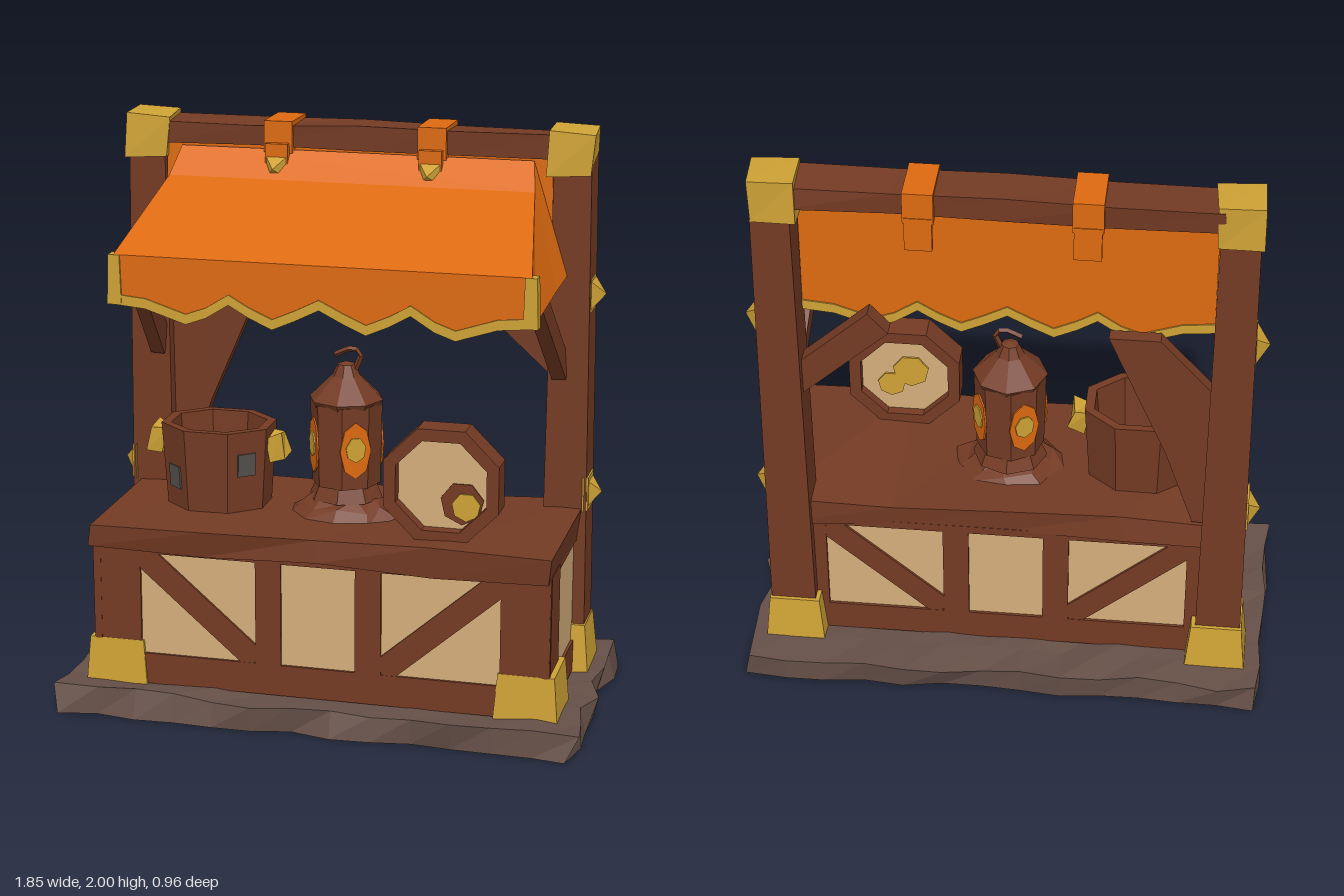
import * as THREE from 'three';

const mat = (name, color, side = THREE.FrontSide) => {
  const m = new THREE.MeshStandardMaterial({ color, flatShading: true, side });
  m.name = name;
  return m;
};

export function createModel() {
  const root = new THREE.Group();
  root.name = 'marketStall';
  const wood = mat('wood brown', 0x743b24);
  const gold = mat('gold trim', 0xcfa235);
  const cream = mat('cream plaster', 0xd4ae7a);
  const cloth = mat('orange cloth', 0xdd6a10, THREE.DoubleSide);
  const stone = mat('stone', 0x665048);
  const iron = mat('iron grey', 0x55504e);

  const add = (name, geo, m, x = 0, y = 0, z = 0, parent = root) => {
    const mesh = new THREE.Mesh(geo, m);
    mesh.name = name;
    mesh.position.set(x, y, z);
    parent.add(mesh);
    return mesh;
  };
  // position-based noise, so shared corners move together
  const noise = (x, y, z, k) => {
    const s = Math.sin(x * 127.1 + y * 311.7 + z * 74.7 + k * 53.3) * 43758.5453;
    return (s - Math.floor(s)) * 2 - 1;
  };
  const edit = (geo, fn) => {
    const p = geo.attributes.position, v = new THREE.Vector3();
    for (let i = 0; i < p.count; i++) {
      v.fromBufferAttribute(p, i);
      for (const a of ['x', 'y', 'z']) v[a] = Math.round(v[a] * 1e4) / 1e4 + 0;
      fn(v);
      p.setXYZ(i, v.x, v.y, v.z);
    }
    geo.computeVertexNormals();
    return geo;
  };
  const rough = (geo, a) => edit(geo, v => {
    const { x, y, z } = v;
    v.set(x + noise(x, y, z, 1) * a, y + noise(x, y, z, 2) * a, z + noise(x, y, z, 3) * a);
  });
  const taper = (w, h, d, tx, tz = tx) => edit(new THREE.BoxGeometry(w, h, d), v => {
    if (v.y > 0) { v.x *= tx; v.z *= tz; }
  });
  const box = (name, m, w, h, d, x, y, z, parent) =>
    add(name, new THREE.BoxGeometry(w, h, d), m, x, y, z, parent);
  const beam = (name, a, b, w, d, m = wood) => {
    const p = new THREE.Vector3(...a), q = new THREE.Vector3(...b);
    const dir = q.clone().sub(p), mid = p.clone().add(q).multiplyScalar(0.5);
    const mesh = add(name, new THREE.BoxGeometry(w, dir.length(), d), m, mid.x, mid.y, mid.z);
    mesh.quaternion.setFromUnitVectors(new THREE.Vector3(0, 1, 0), dir.normalize());
    return mesh;
  };
  const shapeOf = pts => new THREE.Shape(pts.map(p => new THREE.Vector2(...p)));
  const extrude = (shape, depth) => new THREE.ExtrudeGeometry(shape, { depth, bevelEnabled: false });
  const quads = list => {
    const pos = [];
    for (const [a, b, c, d] of list) pos.push(...a, ...b, ...c, ...a, ...c, ...d);
    const g = new THREE.BufferGeometry();
    g.setAttribute('position', new THREE.Float32BufferAttribute(pos, 3));
    g.computeVertexNormals();
    return g;
  };
  const stud = (name, r, h, x, y, z, axis) => {
    const g = new THREE.ConeGeometry(r * Math.SQRT2, h, 4).rotateY(Math.PI / 4);
    if (axis === 'z') g.rotateX(Math.PI / 2);
    else g.rotateZ(-axis * Math.PI / 2);
    return add(name, g, gold, x, y, z);
  };

  // chipped stone slab
  add('stoneBase', edit(new THREE.BoxGeometry(1.8, 0.09, 0.92, 13, 1, 7), v => {
    const { x, y, z } = v, n = k => noise(x, y, z, k);
    if (Math.abs(x) > 0.89) v.x += Math.sign(x) * n(1) * 0.025;
    if (Math.abs(z) > 0.45) v.z += Math.sign(z) * n(2) * 0.025;
    if (y > 0) v.y += n(3) * 0.012;
  }), stone, 0, 0.045, 0);

  // counter body, timber frame and top
  box('plasterBody', cream, 1.57, 0.5, 0.6, 0, 0.34, 0.035);
  add('counterTop', rough(new THREE.BoxGeometry(1.61, 0.09, 0.65, 4, 1, 1), 0.012), wood, 0, 0.625, 0.045);
  for (const [face, z] of [['front', 0.335], ['back', -0.265]]) {
    box(face + 'BottomRail', wood, 1.58, 0.11, 0.02, 0, 0.145, z);
    box(face + 'TopRail', wood, 1.58, 0.03, 0.02, 0, 0.58, z);
    for (const s of [-1, 1]) {
      box(face + 'Stud', wood, 0.09, 0.4, 0.02, s * 0.175, 0.38, z);
      beam(face + 'Diagonal', [s * 0.22, 0.21, z], [s * 0.63, 0.565, z], 0.085, 0.018);
      box(face + 'CornerBoard', wood, 0.17, 0.5, 0.02, s * 0.715, 0.34, z);
    }
  }
  for (const s of [-1, 1]) {
    box('sideBottomRail', wood, 0.02, 0.11, 0.6, s * 0.785, 0.145, 0.035);
    box('sideTopRail', wood, 0.02, 0.03, 0.6, s * 0.785, 0.58, 0.035);
    box('sideCornerBoard', wood, 0.025, 0.5, 0.18, s * 0.785, 0.34, 0.256);
    add('frontFoot', taper(0.22, 0.16, 0.23, 0.88, 0.92), gold, s * 0.72, 0.165, 0.24);

    // rear posts with caps, feet and studs
    add('post', taper(0.16, 1.85, 0.15, 0.8, 0.95), wood, s * 0.75, 1.0, -0.245);
    add('postFoot', taper(0.21, 0.17, 0.21, 0.84), gold, s * 0.745, 0.17, -0.245);
    add('postCap', rough(new THREE.BoxGeometry(0.15, 0.15, 0.165), 0.008), gold, s * 0.745, 1.918, -0.245);
    stud('upperPostStud', 0.065, 0.06, s * 0.835, 1.43, -0.245, s);
    stud('lowerPostStud', 0.065, 0.06, s * 0.84, 0.73, -0.23, s);
    box('lowerPostBand', gold, 0.06, 0.12, 0.11, s * 0.80, 0.73, -0.23);
    box('upperPostBand', gold, 0.06, 0.12, 0.11, s * 0.79, 1.43, -0.245);
    beam('awningBrace', [s * 0.72, 1.17, -0.19], [s * 0.69, 1.48, 0.12], 0.05, 0.085);
  }
  beam('backBrace', [0.72, 1.17, -0.25], [0.42, 1.44, -0.25], 0.1, 0.06);
  add('leaningPlank', extrude(shapeOf([[-0.7, 0.68], [-0.64, 0.68], [-0.54, 0.97], [-0.34, 1.43],
    [-0.51, 1.43], [-0.7, 1.22]]), 0.05), wood, 0, 0, -0.27);

  // top beam with cloth straps
  add('topBeam', rough(new THREE.BoxGeometry(1.4, 0.08, 0.15, 4, 1, 1), 0.008), wood, 0, 1.935, -0.245);
  for (const x of [-0.27, 0.27]) {
    box('strapLoop', cloth, 0.1, 0.11, 0.185, x, 1.935, -0.245);
    box('strapFrontTail', cloth, 0.08, 0.13, 0.025, x, 1.85, -0.14);
    box('strapBackTail', cloth, 0.09, 0.12, 0.02, x, 1.84, -0.33);
    stud('strapStud', 0.035, 0.05, x, 1.835, -0.103, 'z');
  }

  // awning: sloped roof, flared sides, scalloped front and back
  const roof = [[0.62, 1.89, -0.17], [0.64, 1.8, -0.08], [0.71, 1.6, 0.32]];
  const flip = ([x, y, z]) => [-x, y, z];
  const panels = [];
  for (let i = 0; i < 2; i++) panels.push([flip(roof[i]), flip(roof[i + 1]), roof[i + 1], roof[i]]);
  const low = [[0.74, 1.5, -0.17], [0.73, 1.48, -0.02], [0.72, 1.44, 0.31]];
  for (let i = 0; i < 2; i++) {
    const side = [roof[i], roof[i + 1], low[i + 1], low[i]];
    panels.push(side, side.map(flip).reverse());
  }
  add('awningCover', quads(panels), cloth);
  const half = [[0.71, 1.43], [0.6, 1.42], [0.46, 1.375], [0.39, 1.4], [0.31, 1.45], [0.24, 1.41], [0.16, 1.375], [0.08, 1.41]];
  const wave = [...half, [0, 1.45], ...half.map(([x, y]) => [-x, y]).reverse()];
  for (const [face, z, k, top] of [['front', 0.305, 1, 1.6], ['back', -0.2, 0.96, 1.9]]) {
    const edge = wave.map(([x, y]) => [x * k, y]);
    const raised = edge.map(([x, y]) => [x, y + 0.035]);
    add(face + 'Valance', extrude(shapeOf([...raised, [-0.71 * k, top], [0.71 * k, top]]), 0.012), cloth, 0, 0, z);
    add(face + 'ScallopTrim', extrude(shapeOf([...edge, ...raised.slice().reverse()]), 0.022), gold, 0, 0, z - 0.005);
  }
  for (const s of [-1, 1]) add('awningCornerTrim', taper(0.05, 0.17, 0.045, 0.8, 1), gold, s * 0.708, 1.515, 0.302);

  // open bucket with handles and iron patches
  const bucket = new THREE.Group();
  bucket.name = 'bucket';
  bucket.position.set(-0.44, 0.67, 0.02);
  bucket.scale.z = 0.85;
  root.add(bucket);
  const rim = [[0, 0], [0.185, 0], [0.205, 0.29], [0.17, 0.29], [0.15, 0.05], [0, 0.05]];
  add('bucketShell', new THREE.LatheGeometry(rim.map(p => new THREE.Vector2(...p)), 8, Math.PI / 8), wood, 0, 0, 0, bucket);
  for (const s of [-1, 1]) {
    const h = add('bucketHandle', rough(new THREE.BoxGeometry(0.06, 0.085, 0.09), 0.012), gold, s * 0.215, 0.215, 0, bucket);
    h.rotation.z = s * 0.2;
    const pivot = new THREE.Group();
    pivot.name = 'ironPatch';
    pivot.rotation.y = s * Math.PI / 4;
    bucket.add(pivot);
    const y = s < 0 ? 0.11 : 0.17;
    box('patchPlate', iron, 0.07, 0.08, 0.008, 0, y, (0.185 + y * 0.069) * 0.924 + 0.002, pivot).rotation.x = 0.064;
  }

  // lantern on a crumpled base, four lit windows
  const lantern = new THREE.Group();
  lantern.name = 'lantern';
  lantern.position.set(0.012, 0, 0);
  root.add(lantern);
  add('lanternCloth', rough(new THREE.CylinderGeometry(0.1, 0.2, 0.07, 10, 2), 0.014), wood, 0, 0.695, 0.02, lantern).scale.z = 0.85;
  add('lanternFoot', new THREE.CylinderGeometry(0.105, 0.13, 0.06, 8), wood, 0, 0.75, 0, lantern);
  const body = add('lanternBody', new THREE.CylinderGeometry(0.125, 0.118, 0.29, 8, 1, false, Math.PI / 8), wood, 0, 0.915, 0, lantern);
  body.rotation.y = Math.PI / 6;
  const pts = [[0, 1.2], [0.03, 1.19], [0.05, 1.15], [0.13, 1.07], [0.115, 1.04], [0, 1.04]].reverse();
  add('lanternRoof', new THREE.LatheGeometry(pts.map(p => new THREE.Vector2(...p)), 8), wood, 0, 0, 0, lantern);
  const hook = new THREE.CatmullRomCurve3([[0.03, 1.17, 0], [0.05, 1.23, 0], [0.02, 1.245, 0], [-0.04, 1.22, 0]].map(p => new THREE.Vector3(...p)));
  add('lanternHook', new THREE.TubeGeometry(hook, 6, 0.01, 4), wood, 0, 0, 0, lantern);
  for (let i = 0; i < 4; i++) {
    const win = new THREE.Group();
    win.name = 'lanternWindow';
    win.rotation.y = Math.PI / 6 + i * Math.PI / 2;
    lantern.add(win);
    const glow = add('windowGlow', new THREE.CylinderGeometry(0.1, 0.1, 0.006, 8), cloth, 0, 0.91, 0.116, win);
    const flame = add('windowFlame', new THREE.CylinderGeometry(0.045, 0.045, 0.006, 7), gold, 0, 0.915, 0.121, win);
    for (const w of [glow, flame]) w.rotation.x = Math.PI / 2;
    glow.scale.x = 0.55;
    flame.scale.x = 0.8;
  }

  // upright keg: octagonal rim around a cream disc
  const octagon = r => Array.from({ length: 8 }, (_, i) => {
    const a = (i + 0.5) * Math.PI / 4;
    return [Math.cos(a) * r, Math.sin(a) * r];
  });
  const ring = shapeOf(octagon(0.213));
  ring.holes.push(shapeOf(octagon(0.168)));
  add('kegRim', extrude(ring, 0.1), wood, 0.41, 0.865, 0.19);
  add('kegDisc', extrude(shapeOf(octagon(0.175)), 0.02), cream, 0.41, 0.865, 0.225);
  const disc = (name, m, r, x, y, z) => {
    add(name, new THREE.CylinderGeometry(r, r, 0.008, 7), m, x, y, z).rotation.x = Math.PI / 2;
  };
  disc('kegTapPlate', wood, 0.075, 0.475, 0.8, 0.247);
  disc('kegTap', gold, 0.05, 0.49, 0.79, 0.254);
  disc('kegBackSpot', gold, 0.065, 0.39, 0.88, 0.222);
  disc('kegBackSpot', gold, 0.05, 0.46, 0.82, 0.222);
  return root;
}
